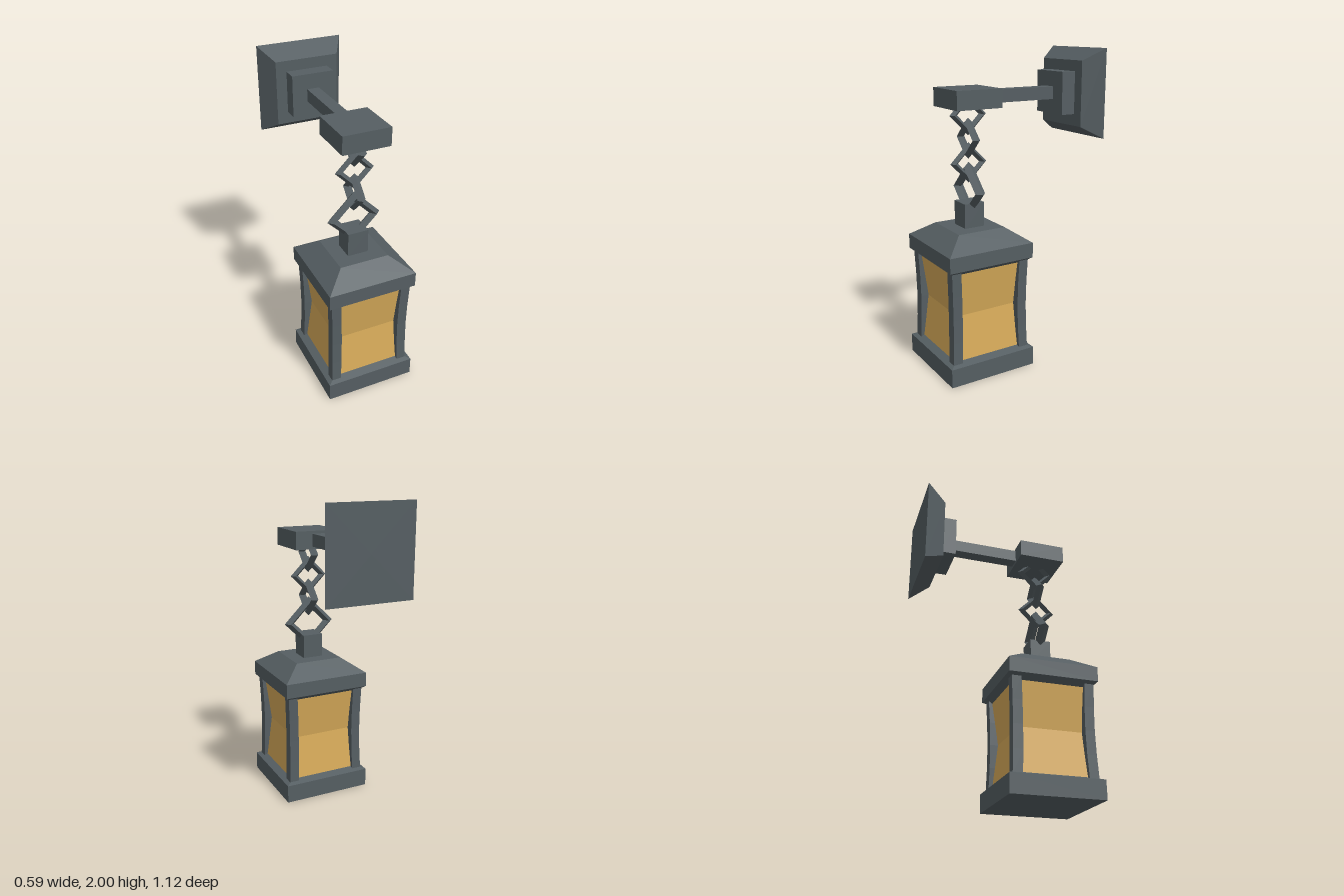
import * as THREE from 'three';

export function createModel() {
  const metal = new THREE.MeshStandardMaterial({ name: 'dark metal', color: 0x555e62, flatShading: true });
  const glass = new THREE.MeshStandardMaterial({ name: 'amber glass', color: 0xd6aa59, flatShading: true });
  const model = new THREE.Group();
  model.name = 'wallLantern';
  const lanternZ = 0.268;

  const add = (name, geometry, material, x, y, z, parent = model) => {
    const mesh = new THREE.Mesh(geometry, material);
    mesh.name = name;
    mesh.position.set(x, y, z);
    parent.add(mesh);
    return mesh;
  };

  // Square solid from [half width, height] pairs, bottom to top
  const squareStack = (profile) => new THREE.LatheGeometry(
    profile.map(([half, y]) => new THREE.Vector2(half * Math.SQRT2, y)), 4, Math.PI / 4);

  // Wall bracket
  const plate = squareStack([[0, 0], [0.283, 0], [0.207, 0.13], [0, 0.13]]);
  plate.rotateX(Math.PI / 2);
  add('wallPlate', plate, metal, 0, 1.717, -0.562);
  add('mountBlock', new THREE.BoxGeometry(0.275, 0.27, 0.1), metal, 0, 1.72, -0.385);
  add('arm', new THREE.BoxGeometry(0.08, 0.08, 0.47), metal, 0, 1.718, -0.105);
  add('armHead', new THREE.BoxGeometry(0.304, 0.115, 0.306), metal, 0, 1.718, lanternZ);

  // Chain of diamond links, alternately turned
  const chain = new THREE.Group();
  chain.name = 'chain';
  model.add(chain);
  [
    [1.615, 0.1, 0.026, true],
    [1.47, 0.1, 0.026, false],
    [1.32, 0.1, 0.026, true],
    [1.15, 0.141, 0.034, false],
  ].forEach(([y, radius, tube, turned]) => {
    const link = add('chainLink', new THREE.TorusGeometry(radius, tube, 4, 4), metal, 0, y, lanternZ, chain);
    if (turned) link.rotation.y = Math.PI / 2;
  });

  // Lantern body
  const lantern = new THREE.Group();
  lantern.name = 'lantern';
  lantern.position.z = lanternZ;
  model.add(lantern);
  add('base', squareStack([[0, 0], [0.295, 0], [0.295, 0.12], [0.24, 0.14], [0, 0.14]]), metal, 0, 0, 0, lantern);
  add('roof', squareStack([[0, 0.7], [0.24, 0.7], [0.289, 0.735], [0.289, 0.83], [0.16, 0.92], [0, 0.92]]),
    metal, 0, 0, 0, lantern);
  add('cap', new THREE.BoxGeometry(0.135, 0.165, 0.135), metal, 0, 0.9925, 0, lantern);
  // Panes pinched at mid height
  add('glassPanes', squareStack([[0.245, 0.13], [0.207, 0.42], [0.245, 0.71]]), glass, 0, 0, 0, lantern);

  // Corner posts, bowed slightly inward
  for (const sx of [-1, 1]) for (const sz of [-1, 1]) {
    const post = new THREE.BoxGeometry(0.062, 0.6, 0.062, 1, 4, 1);
    const p = post.attributes.position;
    for (let i = 0; i < p.count; i++) {
      const bow = 0.008 * Math.cos(p.getY(i) / 0.3 * Math.PI / 2);
      p.setX(i, p.getX(i) - sx * bow);
      p.setZ(i, p.getZ(i) - sz * bow);
    }
    add('cornerPost', post, metal, sx * 0.236, 0.42, sz * 0.236, lantern);
  }
  return model;
}
